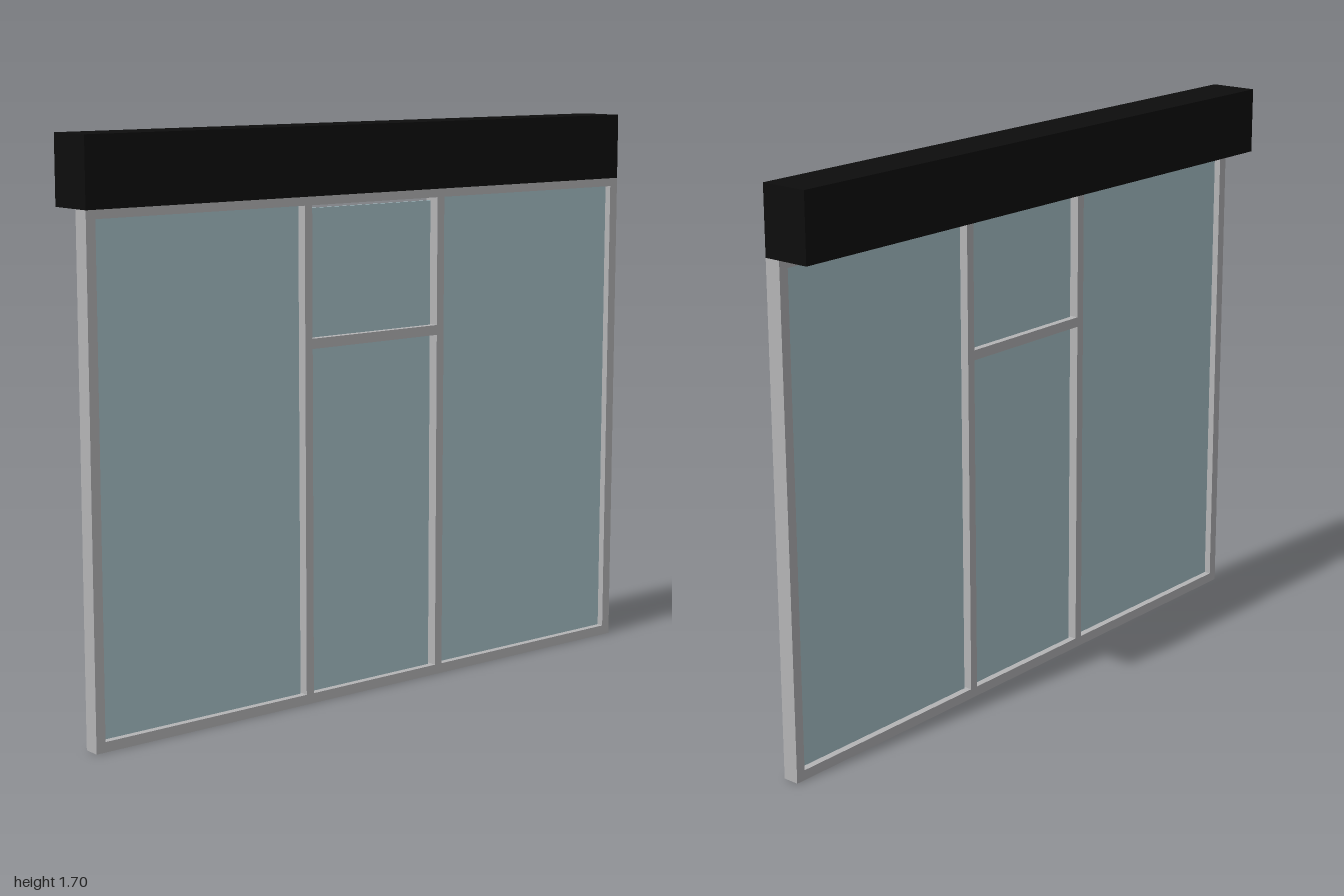
import * as THREE from 'three';

export function createModel() {
  const frameMat = new THREE.MeshStandardMaterial({ name: 'greyFrame', color: 0xb4b4b6 });
  const glassMat = new THREE.MeshStandardMaterial({ name: 'paleBlueGlass', color: 0xa9c3ca });
  const blackMat = new THREE.MeshStandardMaterial({ name: 'blackFascia', color: 0x0d0d0d });
  const model = new THREE.Group();
  model.name = 'shopfront';

  // Box given by its extents in x, y and z
  const box = (name, mat, x0, x1, y0, y1, z0, z1) => {
    const mesh = new THREE.Mesh(new THREE.BoxGeometry(x1 - x0, y1 - y0, z1 - z0), mat);
    mesh.position.set((x0 + x1) / 2, (y0 + y1) / 2, (z0 + z1) / 2);
    mesh.name = name;
    model.add(mesh);
  };
  const bar = (name, x0, x1, y0, y1) => box(name, frameMat, x0, x1, y0, y1, 0.025, 0.075);
  const pane = (name, x0, x1, y0, y1) => box(name, glassMat, x0, x1, y0, y1, 0.046, 0.054);

  // Fascia box above the glazing
  box('fascia', blackMat, -1, 1, 1.5, 1.7, -0.075, 0.075);

  // Outer rails and door transom
  bar('bottomRail', -0.97, 0.97, 0, 0.03);
  bar('topRail', -0.97, 0.97, 1.475, 1.5);
  bar('transom', -0.238, 0.238, 1.06, 1.09);

  // Side posts, mullions and large side panes
  for (const [side, s] of [['left', 1], ['right', -1]]) {
    const span = (a, b) => (s > 0 ? [a, b] : [-b, -a]);
    bar(side + 'Post', ...span(0.97, 1), 0, 1.5);
    bar(side + 'Mullion', ...span(0.238, 0.265), 0.03, 1.475);
    pane(side + 'Pane', ...span(0.272, 0.97), 0.03, 1.475);
  }

  // Door pane and the light above it, with a small gap at the edges
  pane('doorPane', -0.228, 0.228, 0.03, 1.06);
  pane('upperPane', -0.228, 0.228, 1.09, 1.465);

  return model;
}
